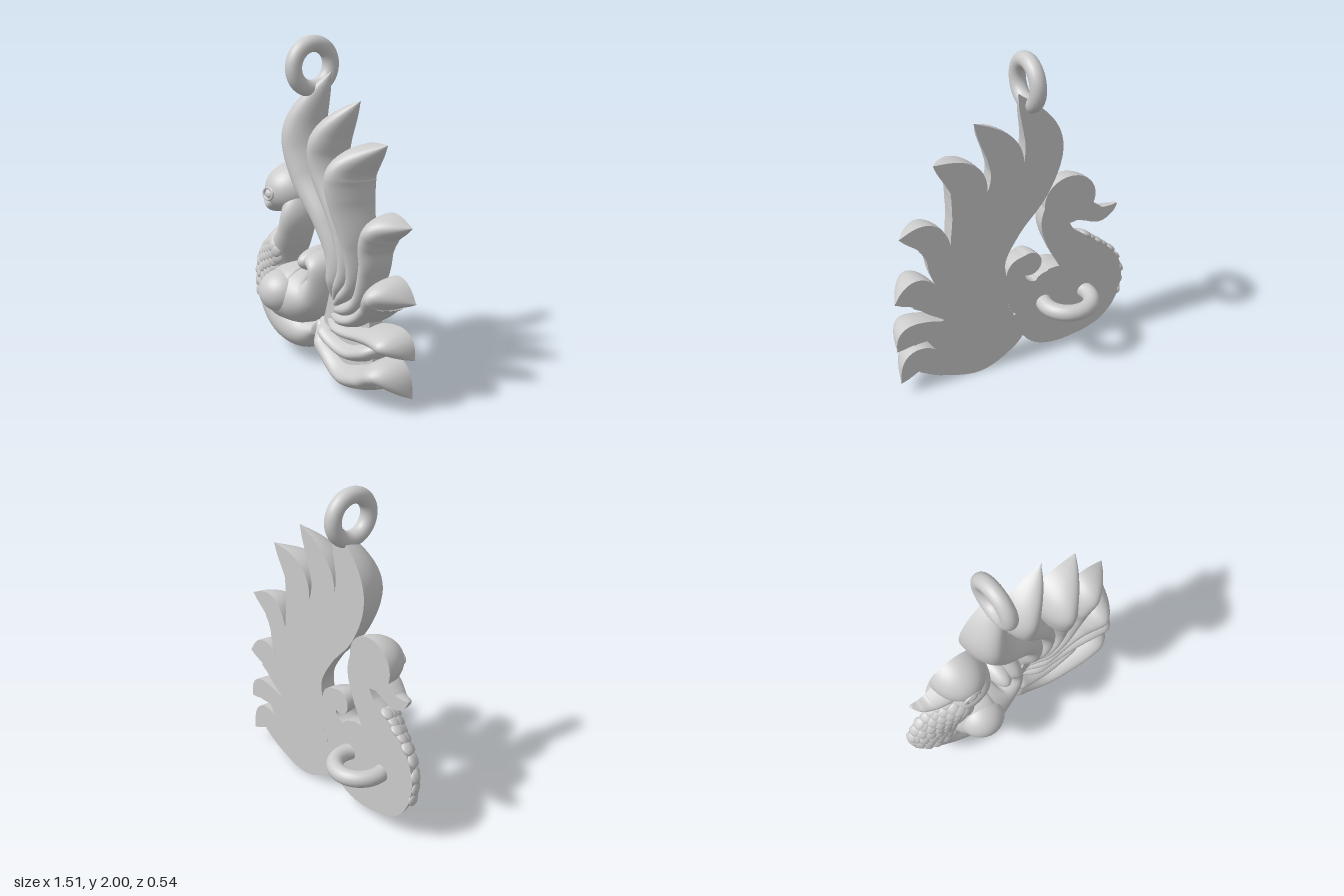
import * as THREE from 'three';

const mat = new THREE.MeshStandardMaterial({ color: 0xcccccc });
const BACK = -0.04; // plane of the flat back

function mesh(name, geometry, x = 0, y = 0, z = 0) {
  const m = new THREE.Mesh(geometry, mat);
  m.name = name;
  m.position.set(x, y, z);
  return m;
}

function curve(points) {
  return new THREE.CatmullRomCurve3(points.map(([x, y]) => new THREE.Vector3(x, y, 0)), false, 'catmullrom', 0.5);
}

// Frame of a strand at t; stations are [x, y, halfWidth, height]
function strandFrame(stations) {
  const path = curve(stations), size = curve(stations.map(s => s.slice(2)));
  return t => {
    const c = path.getPoint(t), d = path.getTangent(t), s = size.getPoint(t);
    return { c, d, side: new THREE.Vector3(d.y, -d.x, 0), r: Math.max(s.x, 0.002), h: Math.max(s.y, 0.002) };
  };
}

// Half-round strand with a flat back, swept through the stations
function strand(name, stations, steps = 64, arc = 20) {
  const frame = strandFrame(stations), pos = [], idx = [], row = arc + 3;
  for (let i = -1; i <= steps + 1; i++) {
    const { c, side, r, h } = frame(Math.min(Math.max(i / steps, 0), 1));
    const k = i < 0 || i > steps ? 0 : 1; // end rings close to a point
    for (let j = 0; j < row; j++) {
      const a = j <= arc ? (j / arc) * Math.PI : (j === arc + 1 ? Math.PI : 0);
      const w = k * r * Math.cos(a);
      pos.push(c.x + side.x * w, c.y + side.y * w, BACK + k * h * Math.sin(a));
    }
  }
  for (let i = 0; i < steps + 2; i++) {
    for (let j = 0; j < row - 1; j++) {
      if (j === arc) continue;
      const a = i * row + j, b = a + row;
      idx.push(a, b, a + 1, b, b + 1, a + 1);
    }
  }
  const g = new THREE.BufferGeometry();
  g.setAttribute('position', new THREE.Float32BufferAttribute(pos, 3));
  g.setIndex(idx);
  g.computeVertexNormals();
  return mesh(name, g);
}

// Feather: a narrow stem swelling into a blade, then tapering to a pointed tip
function feather(stem, blade, height, ...points) {
  const path = curve(points), n = 24, peak = 0.75;
  const stations = path.getPoints(n).map((p, i) => {
    const t = i / n;
    const root = 0.5 + 0.5 * THREE.MathUtils.smoothstep(t, 0, 0.15);
    const swell = THREE.MathUtils.smoothstep(t, 0.2, peak);
    const tip = 1 - Math.pow(Math.max(0, (t - peak) / (1 - peak)), 2);
    return [p.x, p.y, root * tip * THREE.MathUtils.lerp(stem, blade, swell), root * tip * THREE.MathUtils.lerp(0.15, height, swell)];
  });
  return strand('tailFeather', stations);
}

// Half ellipsoid standing on the back plane
function dome(name, x, y, rx, ry, h) {
  const group = new THREE.Group();
  group.name = name;
  const cap = new THREE.SphereGeometry(1, 40, 20, 0, Math.PI * 2, 0, Math.PI / 2);
  cap.rotateX(Math.PI / 2).scale(rx, ry, h);
  const base = new THREE.CircleGeometry(1, 40);
  base.rotateY(Math.PI).scale(rx, ry, 1);
  group.add(mesh(name + 'Front', cap), mesh(name + 'Back', base));
  group.position.set(x, y, BACK);
  return group;
}

function ellipsoid(name, x, y, z, rx, ry, rz) {
  return mesh(name, new THREE.SphereGeometry(1, 32, 20).scale(rx, ry, rz), x, y, z);
}

// Overlapping scales laid in staggered rows over the breast
function breastScales(body) {
  const group = new THREE.Group();
  group.name = 'breastScales';
  const frame = strandFrame(body);
  const geo = new THREE.SphereGeometry(1, 16, 10).scale(0.037, 0.042, 0.018);
  const rows = 9, cols = 6;
  for (let i = 0; i < rows; i++) {
    const { c, d, side, r, h } = frame(0.335 + 0.235 * i / (rows - 1));
    for (let j = 0; j < cols; j++) {
      const a = 0.1 + (j + (i % 2) * 0.5) * 0.34;
      const p = c.clone().addScaledVector(side, r * Math.cos(a));
      p.z = Math.max(BACK + h * Math.sin(a), BACK + 0.03);
      const n = side.clone().multiplyScalar(Math.cos(a) / r);
      n.z = Math.sin(a) / h;
      n.normalize();
      const s = mesh('scale', geo, p.x, p.y, p.z);
      const across = new THREE.Vector3().crossVectors(d, n).normalize();
      s.quaternion.setFromRotationMatrix(new THREE.Matrix4().makeBasis(across, d, n));
      s.rotateX(0.3); // lower edge lifts off the breast
      group.add(s);
    }
  }
  return group;
}

export function createModel() {
  const model = new THREE.Group();
  model.name = 'birdPendant';

  // Tail feathers, from the tallest round to the lowest
  const tail = new THREE.Group();
  tail.name = 'tail';
  tail.add(
    feather(0.085, 0.122, 0.22, [0.07, 0.45], [0.14, 0.72], [0.04, 0.96], [-0.13, 1.2], [-0.19, 1.47], [-0.03, 1.8]),
    feather(0.065, 0.105, 0.21, [0.06, 0.44], [0.235, 0.7], [0.19, 0.98], [0.05, 1.27], [0.065, 1.46], [0.24, 1.68]),
    feather(0.06, 0.112, 0.265, [0.05, 0.42], [0.3, 0.64], [0.32, 0.9], [0.28, 1.14], [0.295, 1.33], [0.485, 1.48]),
    feather(0.06, 0.088, 0.19, [0.04, 0.4], [0.34, 0.54], [0.45, 0.78], [0.475, 0.93], [0.545, 1.035], [0.705, 1.07]),
    feather(0.055, 0.095, 0.23, [0.02, 0.38], [0.3, 0.435], [0.47, 0.55], [0.55, 0.635], [0.62, 0.68], [0.75, 0.65]),
    feather(0.052, 0.072, 0.2, [0, 0.36], [0.24, 0.345], [0.43, 0.38], [0.57, 0.405], [0.67, 0.395], [0.75, 0.32]),
    feather(0.055, 0.062, 0.15, [-0.04, 0.33], [0.1, 0.25], [0.26, 0.225], [0.42, 0.275], [0.57, 0.36]),
    feather(0.07, 0.085, 0.22, [-0.08, 0.3], [0.05, 0.16], [0.23, 0.078], [0.45, 0.135], [0.62, 0.21], [0.735, 0.085]),
  );

  // Plate joining the feathers at the back
  const outline = new THREE.SplineCurve([[0.02, 0.35], [0.1, 0.17], [0.3, 0.09], [0.48, 0.19], [0.46, 0.4], [0.44, 0.6], [0.43, 0.85],
    [0.3, 1.1], [0.04, 1.25], [-0.1, 1.2], [0.12, 0.82], [0.02, 0.35]].map(p => new THREE.Vector2(...p)));
  const plate = new THREE.ExtrudeGeometry(new THREE.Shape(outline.getPoints(60)), { depth: 0.09, bevelEnabled: false });
  tail.add(mesh('tailPlate', plate, 0, 0, BACK));
  model.add(tail);

  // Neck, breast and belly in one sweep
  const body = [[-0.32, 1.1, 0.08, 0.1], [-0.272, 0.94, 0.09, 0.18], [-0.32, 0.79, 0.095, 0.18], [-0.44, 0.64, 0.14, 0.15],
    [-0.54, 0.47, 0.195, 0.125], [-0.5, 0.31, 0.2, 0.15], [-0.36, 0.22, 0.155, 0.18], [-0.2, 0.2, 0.12, 0.17], [-0.06, 0.25, 0.05, 0.12]];
  model.add(strand('neckAndBody', body, 80), breastScales(body));

  // Head with beak and eye
  const beak = [[-0.4, 0.99, 0.08, 0.14], [-0.49, 0.94, 0.062, 0.13], [-0.57, 0.9, 0.05, 0.1], [-0.64, 0.915, 0.03, 0.07], [-0.685, 0.945, 0.006, 0.02]];
  model.add(dome('head', -0.37, 1.05, 0.168, 0.158, 0.21), strand('beak', beak, 40));
  const lid = mesh('eyelid', new THREE.TorusGeometry(0.045, 0.01, 10, 32), -0.385, 1.035, 0.163);
  lid.scale.set(1.1, 0.78, 1);
  lid.rotation.z = 0.35;
  model.add(lid, ellipsoid('eye', -0.38, 1.035, 0.157, 0.034, 0.03, 0.024));

  // Wing with its bulge and curled tip
  const wing = [[-0.515, 0.38, 0.04, 0.08], [-0.44, 0.395, 0.135, 0.2], [-0.32, 0.42, 0.187, 0.275], [-0.2, 0.42, 0.18, 0.24],
    [-0.08, 0.46, 0.125, 0.2], [-0.02, 0.56, 0.07, 0.18], [-0.03, 0.66, 0.065, 0.17], [-0.115, 0.69, 0.065, 0.15]];
  model.add(strand('wing', wing, 72), ellipsoid('wingBulge', -0.31, 0.44, 0.12, 0.145, 0.13, 0.145));
  model.add(dome('wingCurl', -0.11, 0.678, 0.075, 0.077, 0.18));

  // Hanging ring and rear loop
  const ring = mesh('hangingRing', new THREE.TorusGeometry(0.127, 0.048, 20, 56), -0.12, 1.825, 0.03);
  ring.rotation.y = Math.PI / 2;
  const loop = mesh('rearLoop', new THREE.TorusGeometry(0.147, 0.05, 20, 56), -0.345, 0.38, -0.078);
  loop.rotation.x = Math.PI / 2;
  model.add(ring, loop);
  return model;
}
